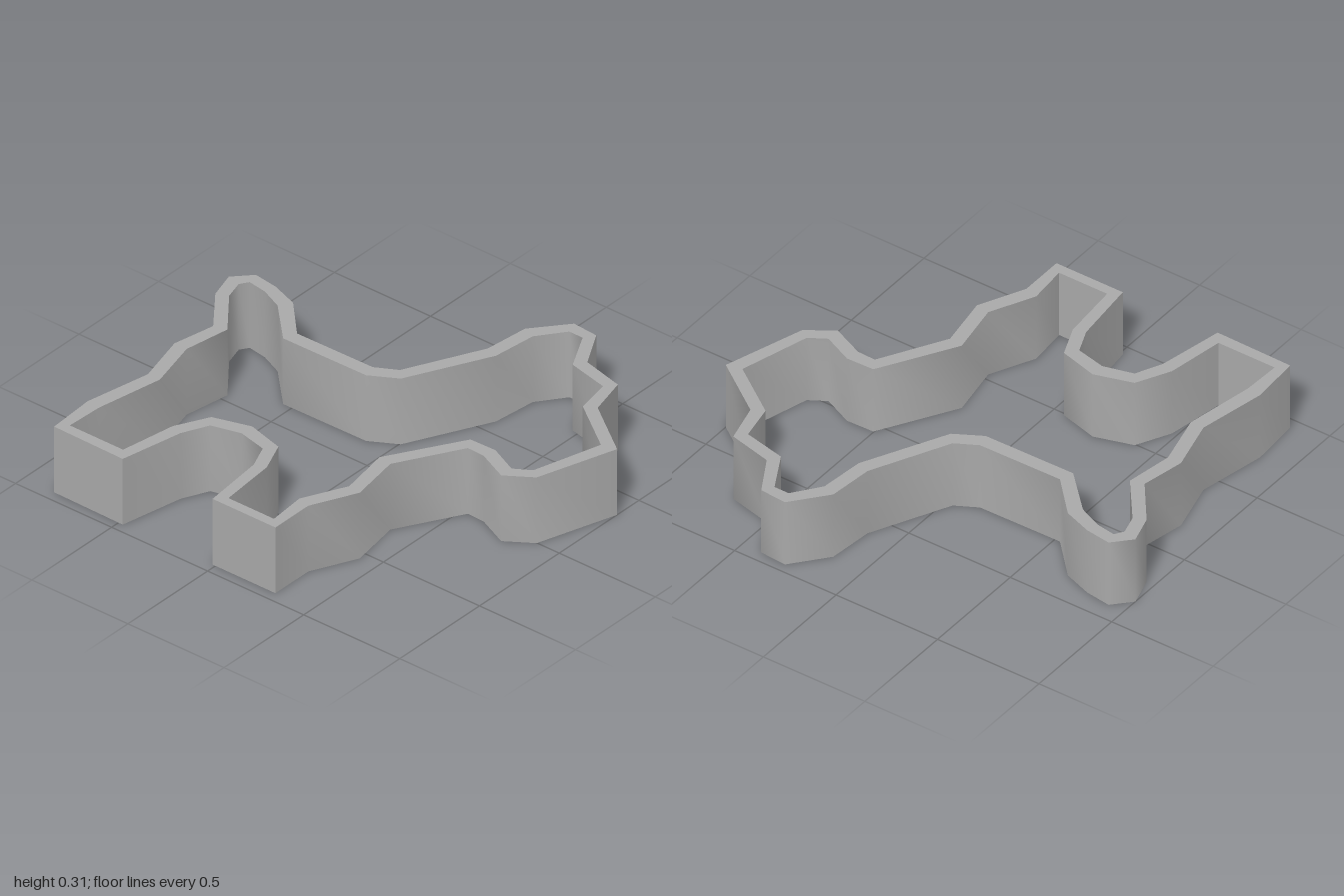
import * as THREE from 'three';
import { toCreasedNormals } from 'three/addons/utils/BufferGeometryUtils.js';

const HEIGHT = 0.315;

// Plan outlines as x, z pairs, from the tail tip along the back to the head, then the legs
const OUTER = [
  -1, -0.337, -0.925, -0.417, -0.808, -0.401, -0.68, -0.355, -0.525, -0.193, -0.135, -0.198, // tail, back
  -0.038, -0.251, 0.133, -0.598, 0.155, -0.803, 0.283, -0.957, 0.406, -0.948, 0.503, -0.775, // neck, ear
  0.702, -0.727, 0.748, -0.545, 1, -0.363, 0.884, 0.002, 0.765, 0.081, 0.62, 0.016, // brow, muzzle
  0.535, 0.013, 0.37, 0.3, 0.41, 0.54, 0.312, 0.745, 0.312, 0.951, -0.015, 0.951, // chest, front leg
  -0.048, 0.653, -0.095, 0.54, -0.23, 0.509, -0.364, 0.545, -0.42, 0.664, -0.478, 0.957, // belly
  -0.84, 0.951, -0.855, 0.723, -0.795, 0.417, -0.857, 0.176, -0.818, -0.02, -0.962, -0.207, // hind leg
];
const INNER = [
  -0.935, -0.321, -0.91, -0.36, -0.82, -0.346, -0.715, -0.3, -0.545, -0.13, -0.118, -0.135,
  0.005, -0.205, 0.192, -0.577, 0.215, -0.78, 0.305, -0.9, 0.375, -0.9, 0.47, -0.723,
  0.663, -0.68, 0.695, -0.515, 0.93, -0.346, 0.84, -0.03, 0.765, 0.016, 0.63, -0.046,
  0.503, -0.042, 0.305, 0.29, 0.347, 0.53, 0.251, 0.727, 0.267, 0.906, 0.03, 0.906,
  0.005, 0.635, -0.055, 0.49, -0.23, 0.443, -0.4, 0.495, -0.477, 0.645, -0.52, 0.904,
  -0.797, 0.904, -0.79, 0.73, -0.733, 0.417, -0.793, 0.176, -0.758, -0.037, -0.91, -0.231,
];

// Shape y becomes -z once the wall is stood upright
function toPoints(flat) {
  const points = [];
  for (let i = 0; i < flat.length; i += 2) points.push(new THREE.Vector2(flat[i], -flat[i + 1]));
  return points;
}

export function createModel() {
  const group = new THREE.Group();
  group.name = 'dogCookieCutter';

  const grey = new THREE.MeshStandardMaterial({ color: 0xa8a8a8 });
  grey.name = 'grey';

  // Open wall following the dog outline; the hole runs the other way so its faces point inward
  const shape = new THREE.Shape(toPoints(OUTER));
  shape.holes.push(new THREE.Path(toPoints(INNER).reverse()));
  const extruded = new THREE.ExtrudeGeometry(shape, { depth: HEIGHT, bevelEnabled: false });
  extruded.rotateX(-Math.PI / 2);

  // Gentle bends stay smooth, sharp corners stay crisp
  const wall = new THREE.Mesh(toCreasedNormals(extruded, 1.15), grey);
  wall.name = 'cutterWall';
  group.add(wall);
  return group;
}
